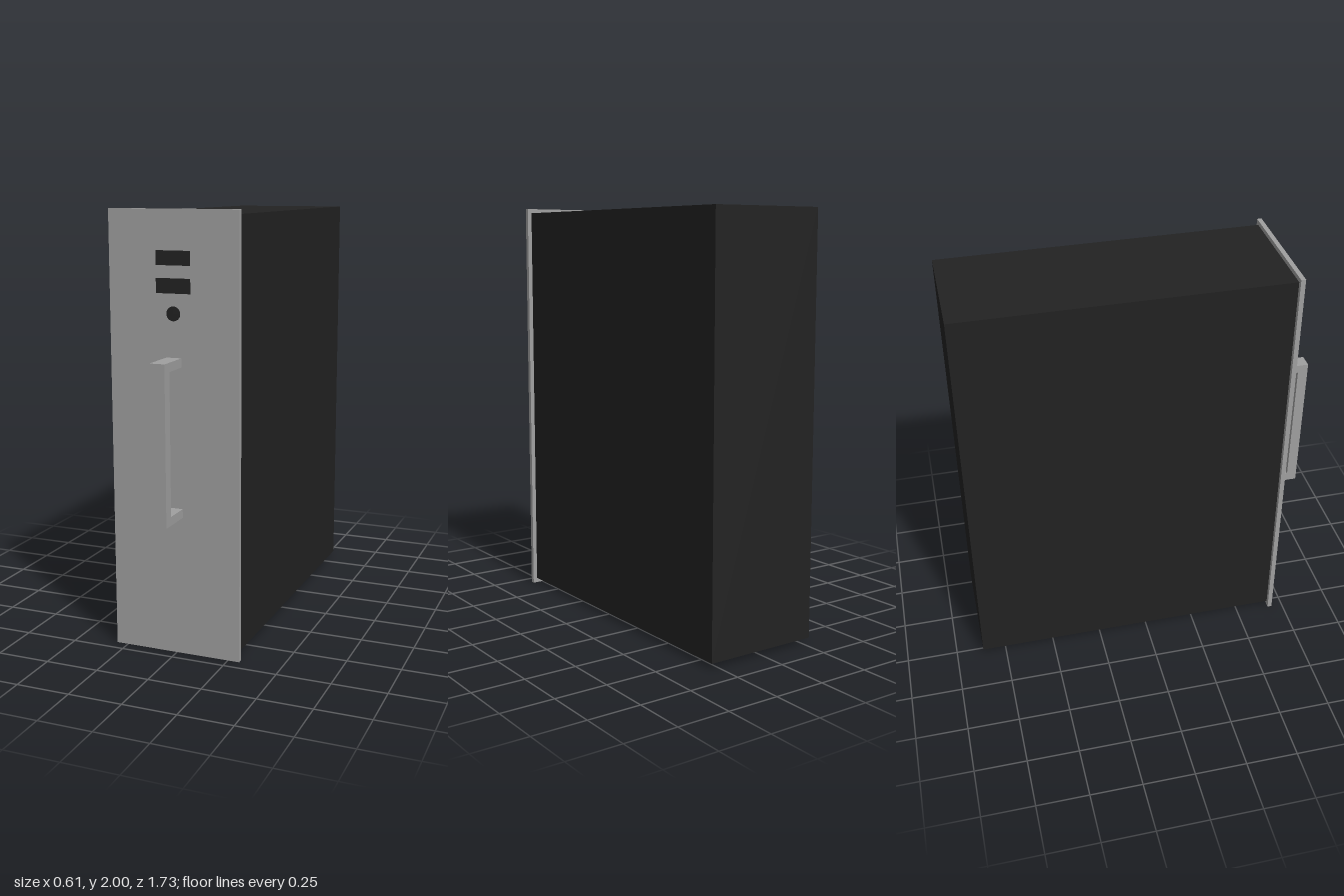
import * as THREE from 'three';

export function createModel() {
  const model = new THREE.Group();
  const steel = new THREE.MeshStandardMaterial({ color: 0xa0a0a0 });
  steel.name = 'brushed grey';
  const black = new THREE.MeshStandardMaterial({ color: 0x222222 });
  black.name = 'matte black';

  const add = (name, geometry, material, x, y, z, parent = model) => {
    const mesh = new THREE.Mesh(geometry, material);
    mesh.name = name;
    mesh.position.set(x, y, z);
    parent.add(mesh);
    return mesh;
  };

  // Box given by its width and its y and z ranges, centred on x
  const block = (name, material, w, y0, y1, z0, z1, parent) =>
    add(name, new THREE.BoxGeometry(w, y1 - y0, z1 - z0), material, 0, (y0 + y1) / 2, (z0 + z1) / 2, parent);

  const back = -0.866, panelBack = 0.671, panelFront = 0.693, handleFront = 0.866;

  // Housing and the slightly larger front plate
  block('housing', black, 0.568, 0.024, 1.979, back, panelBack);
  block('frontPanel', steel, 0.61, 0, 2, panelBack, panelFront);

  // Square-section pull handle
  const handle = new THREE.Group();
  handle.name = 'handle';
  model.add(handle);
  const low = 0.645, high = 1.363, arm = 0.04, gripBack = 0.817;
  block('grip', steel, 0.07, low, high, gripBack, handleFront, handle);
  block('lowerArm', steel, 0.07, low, low + arm, panelFront, gripBack, handle);
  block('upperArm', steel, 0.07, high - arm, high, panelFront, gripBack, handle);

  // Two slots and a round button as thin plates
  const thin = 0.004;
  block('upperSlot', black, 0.16, 1.762, 1.825, panelFront, panelFront + thin);
  block('lowerSlot', black, 0.16, 1.642, 1.707, panelFront, panelFront + thin);
  const disc = new THREE.CylinderGeometry(0.032, 0.032, thin, 32).rotateX(Math.PI / 2);
  add('roundButton', disc, black, 0, 1.555, panelFront + thin / 2);

  return model;
}
